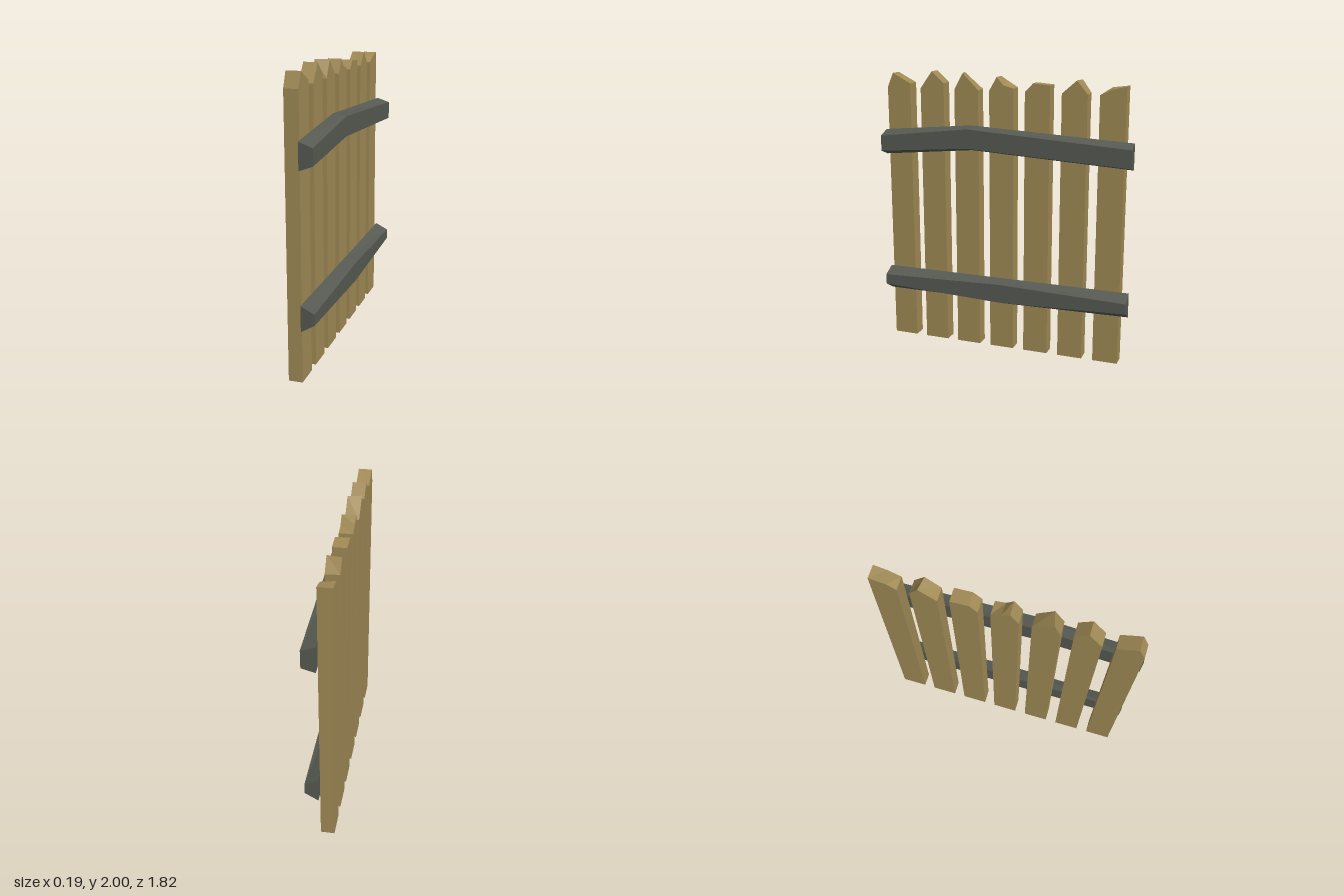
import * as THREE from 'three';

const wood = new THREE.MeshStandardMaterial({ color: 0xa08a55, flatShading: true });
const darkWood = new THREE.MeshStandardMaterial({ color: 0x565a52, flatShading: true });

// Solid skinned over matching cross-sections, each a counterclockwise ring, with end caps
function loft(sections) {
  const pos = [];
  const tri = (...pts) => pts.forEach((p) => pos.push(...p));
  const n = sections[0].length;
  for (let s = 0; s < sections.length - 1; s++) {
    const A = sections[s], B = sections[s + 1];
    for (let i = 0; i < n; i++) {
      const j = (i + 1) % n;
      tri(A[i], A[j], B[j]);
      tri(A[i], B[j], B[i]);
    }
  }
  const first = sections[0], last = sections[sections.length - 1];
  for (let i = 1; i < n - 1; i++) {
    tri(first[0], first[i + 1], first[i]);
    tri(last[0], last[i], last[i + 1]);
  }
  const g = new THREE.BufferGeometry();
  g.setAttribute('position', new THREE.Float32BufferAttribute(pos, 3));
  g.computeVertexNormals();
  return g;
}

// Plank tops as [z, y] points from the low-z side to the high-z side
const planks = [
  { z: 0.8, back: [[0.71, 1.91], [0.845, 1.98], [0.888, 1.88]] },
  { z: 0.54, back: [[0.451, 1.92], [0.54, 2.0], [0.629, 1.88]] },
  { z: 0.281, back: [[0.192, 1.88], [0.33, 1.995], [0.37, 1.88]],
    front: [[0.192, 1.88], [0.305, 1.995], [0.37, 1.88]] },
  { z: 0.021, back: [[-0.068, 1.9], [0.0, 1.94], [0.055, 1.975], [0.11, 1.88]],
    front: [[-0.068, 1.9], [0.005, 1.92], [0.055, 1.975], [0.11, 1.88]] },
  { z: -0.237, back: [[-0.326, 1.93], [-0.2, 1.94], [-0.148, 1.88]],
    front: [[-0.326, 1.93], [-0.205, 1.94], [-0.148, 1.88]] },
  { z: -0.496, back: [[-0.585, 1.885], [-0.525, 1.97], [-0.407, 1.88]],
    front: [[-0.585, 1.88], [-0.51, 1.97], [-0.407, 1.88]] },
  { z: -0.756, back: [[-0.845, 1.94], [-0.73, 1.925], [-0.667, 1.88]],
    front: [[-0.845, 1.94], [-0.755, 1.92], [-0.667, 1.88]] },
];

function plankSection(x, z, top) {
  const half = 0.089;
  return [[x, 0, z + half], [x, 0, z - half], ...top.map(([tz, ty]) => [x, ty, tz])];
}

// Rail stations: z, then heights of back bottom, front bottom, front top, back top
const rails = {
  upperRail: [
    [-0.91, 1.395, 1.42, 1.545, 1.575],
    [0.24, 1.46, 1.485, 1.62, 1.635],
    [0.91, 1.395, 1.43, 1.54, 1.575],
  ],
  lowerRail: [
    [-0.91, 0.36, 0.415, 0.488, 0.535],
    [0, 0.36, 0.38, 0.515, 0.535],
    [0.91, 0.36, 0.415, 0.49, 0.535],
  ],
};

export function createModel() {
  const group = new THREE.Group();
  group.name = 'fencePanel';

  // Upright planks with uneven cut tops
  planks.forEach(({ z, back, front = back }, i) => {
    const mesh = new THREE.Mesh(
      loft([plankSection(-0.095, z, back), plankSection(0, z, front)]), wood);
    mesh.name = `plank${i + 1}`;
    group.add(mesh);
  });

  // Bevelled cross rails
  for (const [name, stations] of Object.entries(rails)) {
    const sections = stations.map(([z, bb, fb, ft, bt]) =>
      [[0, bb, z], [0.092, fb, z], [0.092, ft, z], [0, bt, z]]);
    const mesh = new THREE.Mesh(loft(sections), darkWood);
    mesh.name = name;
    group.add(mesh);
  }
  return group;
}
